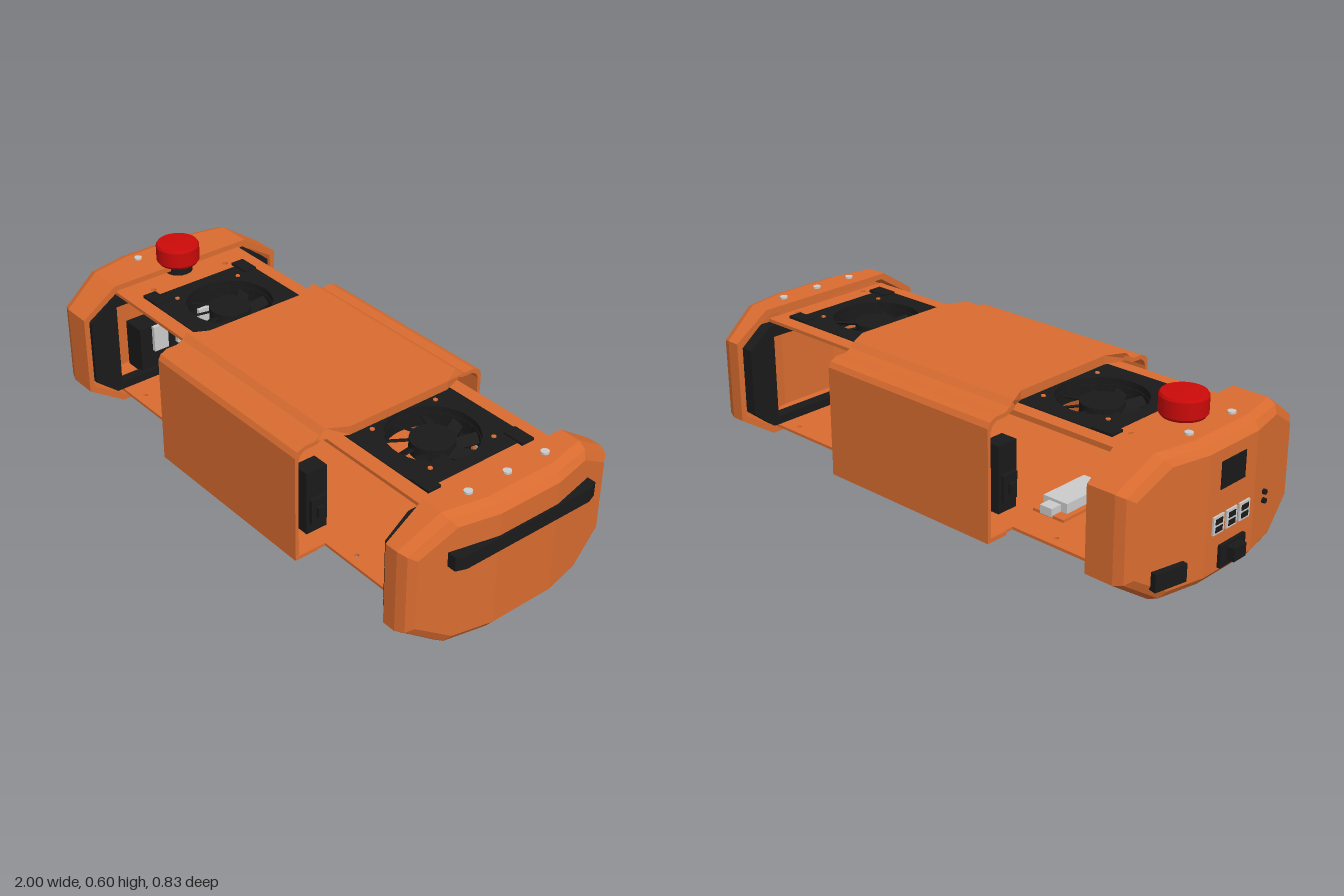
import * as THREE from 'three';

const mat = (color, opts = {}) => new THREE.MeshStandardMaterial({ color, flatShading: true, ...opts });
const orange = mat(0xd96c30), black = mat(0x1a1a1a), red = mat(0xcc0a0a), grey = mat(0xcccccc);
const smoothRed = new THREE.MeshStandardMaterial({ color: 0xcc0a0a });

export function createModel() {
  const root = new THREE.Group();

  const add = (name, geo, m, parent = root) => {
    const mesh = new THREE.Mesh(geo, m);
    mesh.name = name;
    parent.add(mesh);
    return mesh;
  };
  // Box given by its minimum and maximum on each axis
  const box = (name, m, x0, x1, y0, y1, z0, z1, parent) => {
    const geo = new THREE.BoxGeometry(x1 - x0, y1 - y0, z1 - z0);
    geo.translate((x0 + x1) / 2, (y0 + y1) / 2, (z0 + z1) / 2);
    return add(name, geo, m, parent);
  };
  const outline = (pts) => new THREE.Shape(pts.map(([a, b]) => new THREE.Vector2(a, b)));
  const rect = (a0, a1, b0, b1) => outline([[a0, b0], [a1, b0], [a1, b1], [a0, b1]]);
  const circle = (x, y, r) => new THREE.Path().absarc(x, y, r, 0, Math.PI * 2);
  const extrude = (shape, depth) =>
    new THREE.ExtrudeGeometry(shape, { depth, bevelEnabled: false, curveSegments: 20 });
  // Shape in (z, y) pushed along x, and shape in (x, z) pushed along y
  const extrudeX = (shape, x0, x1) => extrude(shape, x1 - x0).rotateY(Math.PI / 2).translate(x0, 0, 0);
  const extrudeY = (shape, y0, y1) => extrude(shape, y1 - y0).rotateX(-Math.PI / 2).translate(0, y0, 0);

  // Hollow end cap: rings of an octagon, bowed in plan, from outer face over the rim to the inner face
  const capGeometry = (outer, rim) => {
    const cols = [-0.415, -0.28, -0.13, 0.13, 0.28, 0.415];
    const half = [0.145, 0.235, 0.235, 0.235, 0.235, 0.145];
    const order = [0, 1, 2, 3, 4, 5, 5, 4, 3, 2, 1, 0];
    const ring = (inset, back, flat) => order.map((k, i) => {
      const z = cols[k] * (1 - inset / 0.415);
      const y = 0.29 + (i < 6 ? 1 : -1) * half[k] * (1 - inset / 0.235);
      const bow = 0.2 * Math.max(0, Math.abs(cols[k]) - 0.13);
      return [flat ? rim : outer - back - bow, y, z];
    });
    const rings = [ring(0.035, 0), ring(0.012, 0.018), ring(0, 0.05),
      ring(0, 0, true), ring(0.02, 0, true), ring(0.028, 0.03)];
    const pos = [];
    const quad = (a, b, c, d) => pos.push(...a, ...b, ...c, ...a, ...c, ...d);
    for (let r = 0; r < rings.length - 1; r++) {
      const A = rings[r], B = rings[r + 1];
      for (let i = 0; i < 12; i++) {
        const j = (i + 1) % 12;
        quad(A[i], B[i], B[j], A[j]);
      }
    }
    const first = rings[0], last = rings[rings.length - 1];
    for (let k = 0; k < 5; k++) {
      quad(first[k], first[k + 1], first[10 - k], first[11 - k]);
      quad(last[k], last[11 - k], last[10 - k], last[k + 1]);
    }
    const geo = new THREE.BufferGeometry();
    geo.setAttribute('position', new THREE.Float32BufferAttribute(pos, 3));
    geo.computeVertexNormals();
    return geo;
  };
  add('leftEndCap', capGeometry(0.99, 0.835), orange);
  add('rightEndCap', capGeometry(0.96, 0.75), orange).rotation.y = Math.PI;

  // Black frames closing the mouths of the caps
  for (const [x0, x1] of [[0.8, 0.845], [-0.79, -0.752]]) {
    const s = outline([[-0.385, 0.17], [-0.3, 0.1], [0.3, 0.1], [0.385, 0.17],
      [0.385, 0.41], [0.3, 0.475], [-0.3, 0.475], [-0.385, 0.41]]);
    s.holes.push(rect(-0.28, 0.28, 0.13, 0.44));
    add('capFrame', extrudeX(s, x0, x1), black);
  }

  // Base plate with slots and screw holes, wide under the central shell
  const base = outline([[-0.86, -0.268], [-0.33, -0.268], [-0.33, -0.385], [0.39, -0.385], [0.39, -0.268],
    [0.85, -0.268], [0.85, 0.268], [0.39, 0.268], [0.39, 0.385], [-0.33, 0.385], [-0.33, 0.268], [-0.86, 0.268]]);
  for (const s of [-1, 1]) {
    for (const x of [-0.24, 0.2]) base.holes.push(rect(x, x + 0.1, s * 0.33 - 0.006, s * 0.33 + 0.006));
    for (const x of [-0.68, -0.48, 0.5, 0.75]) base.holes.push(circle(x, s * 0.23, 0.008));
  }
  add('basePlate', extrudeY(base, 0.08, 0.09), orange);
  box('bottomHatch', orange, -0.25, 0.33, 0.076, 0.08, -0.22, 0.22);

  // Top plate with an opening for each fan
  const fanX = [-0.46, 0.575];
  const top = rect(-0.86, 0.84, -0.267, 0.267);
  for (const x of fanX) top.holes.push(rect(x - 0.155, x + 0.155, -0.155, 0.155));
  for (const s of [-1, 1]) for (const x of [-0.7, 0.815]) top.holes.push(circle(x, s * 0.155, 0.01));
  add('topPlate', extrudeY(top, 0.478, 0.49), orange);

  // Cooling fans
  fanX.forEach((x, i) => {
    const fan = new THREE.Group();
    fan.name = 'fan';
    fan.position.x = x;
    fan.rotation.y = i ? Math.PI : 0;
    root.add(fan);
    const grille = rect(-0.195, 0.165, -0.215, 0.215);
    grille.holes.push(circle(0, 0, 0.15));
    add('fanMount', extrudeY(grille, 0.458, 0.493), black, fan);
    const housing = rect(-0.155, 0.155, -0.155, 0.155);
    housing.holes.push(circle(0, 0, 0.147));
    add('fanHousing', extrudeY(housing, 0.422, 0.47), black, fan);
    add('fanHub', new THREE.CylinderGeometry(0.073, 0.073, 0.045, 24).translate(0, 0.455, 0), black, fan);
    for (let b = 0; b < 9; b++) {
      const blade = new THREE.BoxGeometry(0.09, 0.006, 0.04).rotateX(0.5).rotateY(0.3)
        .translate(0.105, 0.452, 0).rotateY(b * Math.PI * 2 / 9);
      add('fanBlade', blade, black, fan);
    }
    for (const s of [-1, 1]) {
      const z = s * 0.19;
      box('mountCorner', black, -0.215, -0.135, 0.46, 0.499, z - 0.025, z + 0.025, fan);
      for (const bx of [-0.13, 0.13]) add('fanScrew',
        new THREE.CylinderGeometry(0.008, 0.008, 0.004, 8).translate(bx, 0.495, s * 0.13), orange, fan);
    }
  });

  // Central shell: two folded side panels and a raised cover
  for (const s of [-1, 1]) {
    const panel = outline([[0.3, 0.075], [0.385, 0.075], [0.385, 0.465], [0.375, 0.483], [0.35, 0.495], [0.31, 0.495],
      [0.27, 0.515], [0.265, 0.5], [0.3, 0.482], [0.348, 0.48], [0.365, 0.468], [0.372, 0.45],
      [0.372, 0.09], [0.3, 0.09]].map(([z, y]) => [s * z, y]));
    add('shellSide', extrudeX(panel, -0.335, 0.388), orange);
    // Ventilation modules at both ends of each side channel
    for (const [x, d] of [[-0.335, -1], [0.388, 1]]) {
      const z = s * 0.31;
      const span = (a, b) => [Math.min(x + d * a, x + d * b), Math.max(x + d * a, x + d * b)];
      box('ventModule', black, ...span(-0.05, 0.012), 0.17, 0.4, z - 0.04, z + 0.04);
      box('ventBracket', black, ...span(0.012, 0.025), 0.21, 0.3, z - 0.03, z + 0.03);
      box('ventConnector', black, ...span(0.025, 0.038), 0.235, 0.27, z - 0.012, z + 0.012);
    }
  }
  const plan = outline([[-0.335, -0.3], [-0.3, -0.2], [-0.3, 0.2], [-0.335, 0.3],
    [0.388, 0.3], [0.425, 0.2], [0.425, -0.2], [0.388, -0.3]]);
  const cover = extrudeY(plan, 0.494, 0.525);
  const p = cover.attributes.position;
  for (let i = 0; i < p.count; i++) {
    if (p.getY(i) > 0.51 && Math.abs(p.getZ(i)) > 0.25) p.setZ(i, Math.sign(p.getZ(i)) * 0.268);
  }
  cover.computeVertexNormals();
  add('shellCover', cover, orange);

  // Emergency button
  const profile = [[0, 0.525], [0.07, 0.525], [0.077, 0.535], [0.077, 0.59], [0.072, 0.598], [0, 0.6]];
  for (let i = 0; i < profile.length - 1; i++) {
    const pts = [profile[i], profile[i + 1]].map(([r, y]) => new THREE.Vector2(r, y));
    add('stopButton', new THREE.LatheGeometry(pts, 32), smoothRed).position.x = -0.77;
  }
  add('buttonStem', new THREE.CylinderGeometry(0.05, 0.05, 0.13, 20).translate(-0.77, 0.46, 0), black);

  // Carrying handle, with ends sloping back to the cap
  const grip = outline([[0.95, -0.285], [0.985, -0.285], [0.998, -0.25], [0.998, 0.25], [0.985, 0.285], [0.95, 0.285]]);
  add('handle', extrudeY(grip, 0.363, 0.412), black);

  // Connectors on the opposite end
  const flat = box('dataConnector', black, -0.02, 0.02, -0.03, 0.03, -0.06, 0.06);
  flat.position.set(-0.93, 0.145, -0.26);
  flat.rotation.y = -0.2;
  box('powerSocket', black, -0.972, -0.93, 0.1, 0.175, -0.055, 0.07);
  box('powerPlug', black, -1, -0.97, 0.12, 0.165, -0.025, 0.035);
  box('displayWindow', black, -0.963, -0.93, 0.36, 0.45, -0.06, 0.06);
  for (let i = 0; i < 3; i++) {
    const z = -0.065 + i * 0.065;
    box('port', grey, -0.966, -0.93, 0.22, 0.28, z - 0.026, z + 0.026);
    for (const y of [0.227, 0.253]) box('portSlot', black, -0.968, -0.96, y, y + 0.018, z - 0.017, z + 0.017);
  }
  for (const y of [0.23, 0.26]) {
    add('indicator', new THREE.CylinderGeometry(0.009, 0.009, 0.01, 10)
      .rotateZ(Math.PI / 2).translate(-0.951, y, 0.19), black);
  }

  // Electronics inside the cap and on the base
  box('circuitBoard', black, -0.86, -0.77, 0.12, 0.3, -0.2, 0.18);
  for (const z of [-0.1, 0, 0.1]) box('boardPort', grey, -0.77, -0.755, 0.2, 0.3, z - 0.03, z + 0.03);
  box('adapter', grey, -0.41, -0.31, 0.09, 0.135, -0.1, 0.1);
  for (const s of [-1, 1]) box('adapterPlug', grey, -0.385, -0.335, 0.095, 0.125, s * 0.12 - 0.025, s * 0.12 + 0.025);
  box('adapterTray', orange, -0.43, -0.3, 0.088, 0.1, -0.14, 0.14);

  // Hooks under the base
  for (const [z0, z1] of [[0.05, 0.095], [-0.085, -0.04]]) {
    const hook = outline([[-0.36, 0.085], [-0.36, 0.06], [-0.38, 0.05], [-0.38, 0.008], [-0.37, 0],
      [-0.31, 0], [-0.305, 0.01], [-0.305, 0.055], [-0.325, 0.062], [-0.325, 0.085]]);
    add('baseHook', extrude(hook, z1 - z0).translate(0, 0, z0), orange);
  }

  // Cap screws, above and below
  for (const [x, z] of [[0.89, -0.155], [0.89, 0], [0.89, 0.155], [-0.87, -0.105], [-0.87, 0.105]]) {
    for (const y of [0.525, 0.055]) {
      add('capScrew', new THREE.CylinderGeometry(0.014, 0.014, 0.014, 12).translate(x, y, z), grey);
    }
  }
  return root;
}
